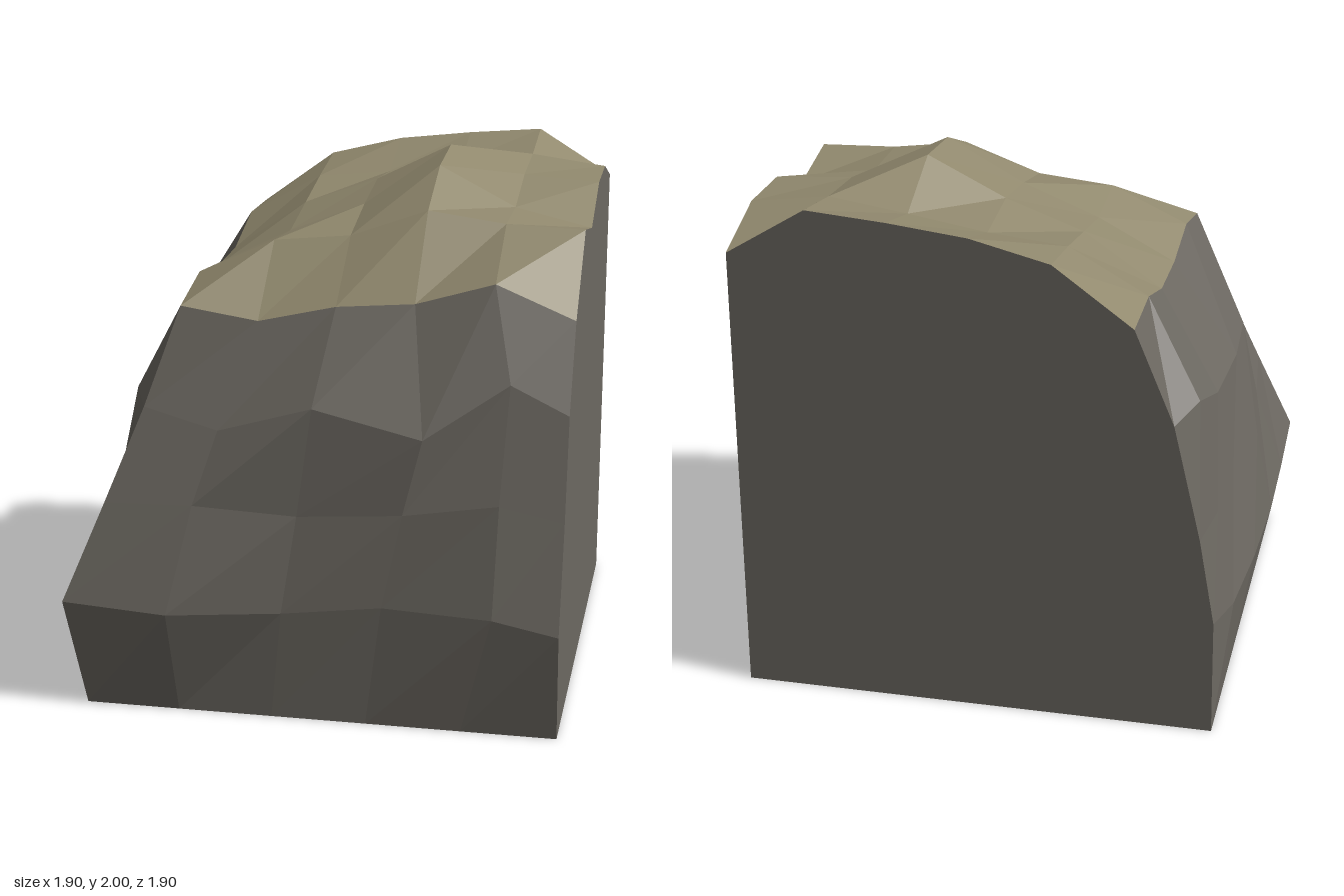
import * as THREE from 'three';

const grass = new THREE.MeshStandardMaterial({ color: 0x91896e, side: THREE.DoubleSide });
grass.name = 'dryTan';
const rock = new THREE.MeshStandardMaterial({ color: 0x6d6962, side: THREE.DoubleSide });
rock.name = 'rockGrey';

const EDGE = 0.95;
const xs = [-0.55, -0.25, 0.05, 0.35, 0.65, 0.95];
const zs = [-0.95, -0.65, -0.35, -0.05, 0.25, 0.55];
// plateau heights, one row per z from back to front
const heights = [
  [1.61, 1.83, 1.905, 1.94, 1.965, 1.78],
  [1.62, 1.79, 1.82, 1.87, 1.915, 1.875],
  [1.535, 1.74, 1.85, 2.0, 1.89, 1.87],
  [1.53, 1.69, 1.81, 1.975, 1.82, 1.75],
  [1.58, 1.72, 1.75, 1.86, 1.82, 1.81],
  [1.52, 1.475, 1.545, 1.57, 1.66, 1.535],
];

// faceted sheet from rows of [x, y, z] points
function sheet(rows) {
  const n = rows[0].length;
  const index = [];
  for (let r = 0; r < rows.length - 1; r++) {
    for (let c = 0; c < n - 1; c++) {
      const a = r * n + c, b = a + n;
      index.push(a, b, a + 1, b, b + 1, a + 1);
    }
  }
  const g = new THREE.BufferGeometry();
  g.setAttribute('position', new THREE.Float32BufferAttribute(rows.flat(2), 3));
  g.setIndex(index);
  const flat = g.toNonIndexed();
  flat.computeVertexNormals();
  return flat;
}

// flat cut face from an outline of [u, y] points
function cutFace(points, turn) {
  const shape = new THREE.Shape(points.map(([u, y]) => new THREE.Vector2(u, y)));
  return new THREE.ShapeGeometry(shape).rotateY(turn);
}

export function createModel() {
  const group = new THREE.Group();
  group.name = 'cliffCorner';
  const add = (name, geometry, material) => {
    const mesh = new THREE.Mesh(geometry, material);
    mesh.name = name;
    group.add(mesh);
    return mesh;
  };

  // plateau
  const top = zs.map((z, r) => xs.map((x, c) => [x, heights[r][c], z]));
  add('plateau', sheet(top), grass);

  // both cliffs share the corner ridge; rows run from the rim to the foot
  const ridge = [[-0.67, 1.15, 0.67], [-0.8, 0.8, 0.8], [-0.94, 0.435, 0.93]];
  const foot = [0, 1, 2, 3, 4, 5].map((i) => -0.87 + (i * 1.82) / 5);

  const front = [
    top[5],
    [ridge[0], [-0.37, 1.09, 0.73], [0, 1.21, 0.775], [0.42, 1.12, 0.8], [0.73, 1.32, 0.7], [0.95, 1.22, 0.72]],
    [ridge[1], [-0.45, 0.82, 0.83], [-0.05, 0.8, 0.82], [0.35, 0.83, 0.82], [0.71, 0.89, 0.82], [0.95, 0.83, 0.79]],
    [ridge[2], [-0.53, 0.42, 0.955], [-0.1, 0.43, 0.88], [0.28, 0.475, 0.865], [0.7, 0.47, 0.9], [0.95, 0.425, 0.91]],
    foot.map((x) => [x, 0, 0.87]),
  ];
  add('frontCliff', sheet(front), rock);

  const side = [
    top.map((row) => row[0]),
    [[-0.7, 1.25, -0.95], [-0.77, 1.29, -0.8], [-0.785, 1.16, -0.42], [-0.8, 1.14, 0], [-0.78, 1.13, 0.36], ridge[0]],
    [[-0.805, 0.8, -0.95], [-0.84, 0.82, -0.74], [-0.85, 0.8, -0.38], [-0.89, 0.78, 0.05], [-0.84, 0.8, 0.42], ridge[1]],
    [[-0.865, 0.46, -0.95], [-0.91, 0.43, -0.72], [-0.94, 0.43, -0.33], [-0.955, 0.43, 0.1], [-0.95, 0.43, 0.5], ridge[2]],
    foot.map((u) => [-0.87, 0, -EDGE + u + 0.87]),
  ];
  add('sideCliff', sheet(side), rock);

  // straight cut faces following the rim and cliff profiles
  const right = [
    [EDGE, 0],
    ...top.map((row) => [-row[5][2], row[5][1]]),
    ...front.slice(1).map((row) => [-row[5][2], row[5][1]]),
  ];
  add('sideCut', cutFace(right, Math.PI / 2), rock).position.x = EDGE;

  const back = [
    [-EDGE, 0],
    ...[...top[0]].reverse().map(([x, y]) => [-x, y]),
    ...side.slice(1).map((row) => [-row[0][0], row[0][1]]),
  ];
  add('backCut', cutFace(back, Math.PI), rock).position.z = -EDGE;

  return group;
}
